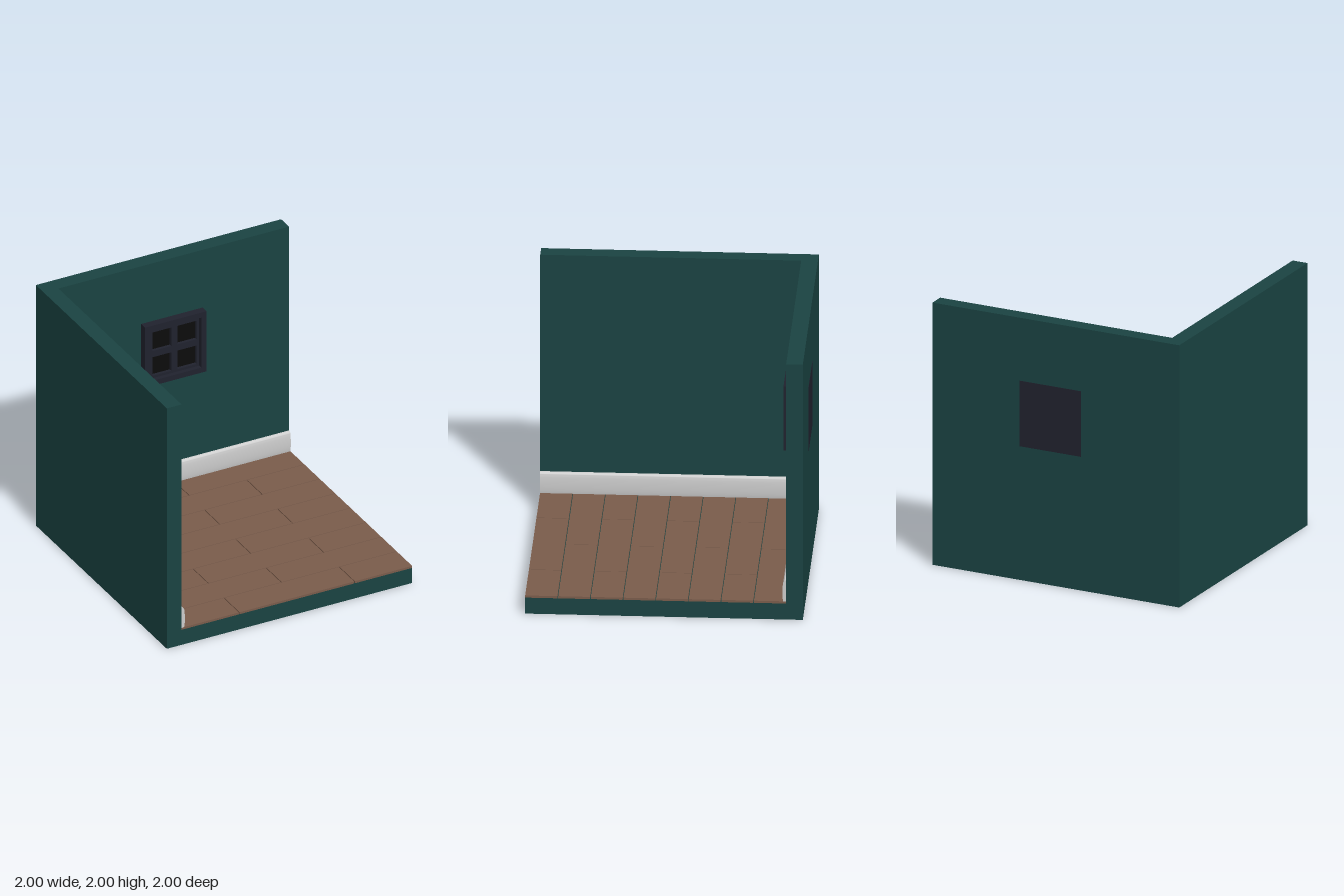
import * as THREE from 'three';
import { toCreasedNormals } from 'three/addons/utils/BufferGeometryUtils.js';

const mat = (color) => new THREE.MeshStandardMaterial({ color });
const teal = mat(0x1a4342);
const wood = mat(0x7a5c4b);
const trim = mat(0xcccccc);
const frameMat = mat(0x20222e);
const glass = mat(0x0c0c0c);

const INNER = -0.88; // inner face of both walls
const FLOOR = 0.125; // top of the floor slab

function add(parent, name, geometry, material, x = 0, y = 0, z = 0) {
  const mesh = new THREE.Mesh(geometry, material);
  mesh.name = name;
  mesh.position.set(x, y, z);
  parent.add(mesh);
  return mesh;
}

// Box given by its lower and upper corners
function addBox(parent, name, material, [x0, y0, z0], [x1, y1, z1]) {
  return add(parent, name, new THREE.BoxGeometry(x1 - x0, y1 - y0, z1 - z0), material,
    (x0 + x1) / 2, (y0 + y1) / 2, (z0 + z1) / 2);
}

// Points of a square with the given centre and half size
function square(half, cx = 0, cy = 0) {
  return [[-1, -1], [1, -1], [1, 1], [-1, 1]]
    .map(([x, y]) => new THREE.Vector2(cx + x * half, cy + y * half));
}

// Square panel with square holes, extruded toward +z
function panel(half, holes, depth) {
  const shape = new THREE.Shape(square(half));
  holes.forEach((h) => shape.holes.push(new THREE.Path(square(...h))));
  return new THREE.ExtrudeGeometry(shape, { depth, bevelEnabled: false });
}

// Two walls meeting at the back corner, and the floor slab
function createShell() {
  const shell = new THREE.Group();
  shell.name = 'roomShell';
  const plan = new THREE.Shape([[-1, -1], [INNER, -1], [INNER, -INNER], [1, -INNER], [1, 1], [-1, 1]]
    .map(([x, y]) => new THREE.Vector2(x, y)));
  const walls = new THREE.ExtrudeGeometry(plan, { depth: 2 - FLOOR, bevelEnabled: false });
  walls.rotateX(-Math.PI / 2);
  add(shell, 'walls', walls, teal, 0, FLOOR, 0);
  addBox(shell, 'floorSlab', teal, [-1, 0, -1], [1, FLOOR, 1]);
  return shell;
}

// Staggered floorboards with narrow gaps
function createFloorboards() {
  const boards = new THREE.Group();
  boards.name = 'floorboards';
  const rows = 8, width = 1.88 / rows, gap = 0.003;
  for (let r = 0; r < rows; r++) {
    const ends = r % 2 ? [INNER, -0.41, 0.53, 1] : [INNER, 0.06, 1];
    const z = INNER + r * width;
    for (let i = 0; i < ends.length - 1; i++) {
      const x0 = ends[i] + (i ? gap : 0);
      const x1 = ends[i + 1] - (i < ends.length - 2 ? gap : 0);
      addBox(boards, 'floorboard', wood, [x0, FLOOR, z + (r ? gap : 0)],
        [x1, 0.142, z + width - (r < rows - 1 ? gap : 0)]);
    }
  }
  return boards;
}

// Softly bulging skirting along both walls
function createBaseboards() {
  const group = new THREE.Group();
  group.name = 'baseboards';
  const profile = new THREE.Shape();
  profile.moveTo(0, 0.14);
  profile.lineTo(0.021, 0.14);
  profile.bezierCurveTo(0.029, 0.17, 0.029, 0.24, 0.023, 0.28);
  profile.bezierCurveTo(0.021, 0.298, 0.014, 0.305, 0.004, 0.305);
  profile.lineTo(0, 0.305);
  profile.closePath();
  const strip = toCreasedNormals(new THREE.ExtrudeGeometry(profile,
    { depth: 1.88, bevelEnabled: false, curveSegments: 10 }), 0.7);
  add(group, 'leftWallBaseboard', strip, trim, INNER, 0, INNER);
  add(group, 'backWallBaseboard', strip, trim, 1, 0, INNER).rotation.y = -Math.PI / 2;
  return group;
}

// Four-pane window set through the back wall
function createWindow() {
  const win = new THREE.Group();
  win.name = 'window';
  win.position.set(0.045, 1.27, 0);
  const cells = [-0.103, 0.103].flatMap((x) => [-0.103, 0.103].map((y) => [x, y]));
  add(win, 'windowBacking', new THREE.BoxGeometry(0.5, 0.5, 0.132), frameMat, 0, 0, -0.936);
  add(win, 'windowFrame', panel(0.25, [[0.208]], 0.05), frameMat, 0, 0, -0.87);
  add(win, 'windowSash', panel(0.2, cells.map(([x, y]) => [0.077, x, y]), 0.03), frameMat, 0, 0, -0.87);
  cells.forEach(([x, y]) => add(win, 'windowPane',
    new THREE.BoxGeometry(0.154, 0.154, 0.006), glass, x, y, -0.867));
  return win;
}

export function createModel() {
  const model = new THREE.Group();
  model.name = 'cutawayRoom';
  model.add(createShell(), createFloorboards(), createBaseboards(), createWindow());
  return model;
}
